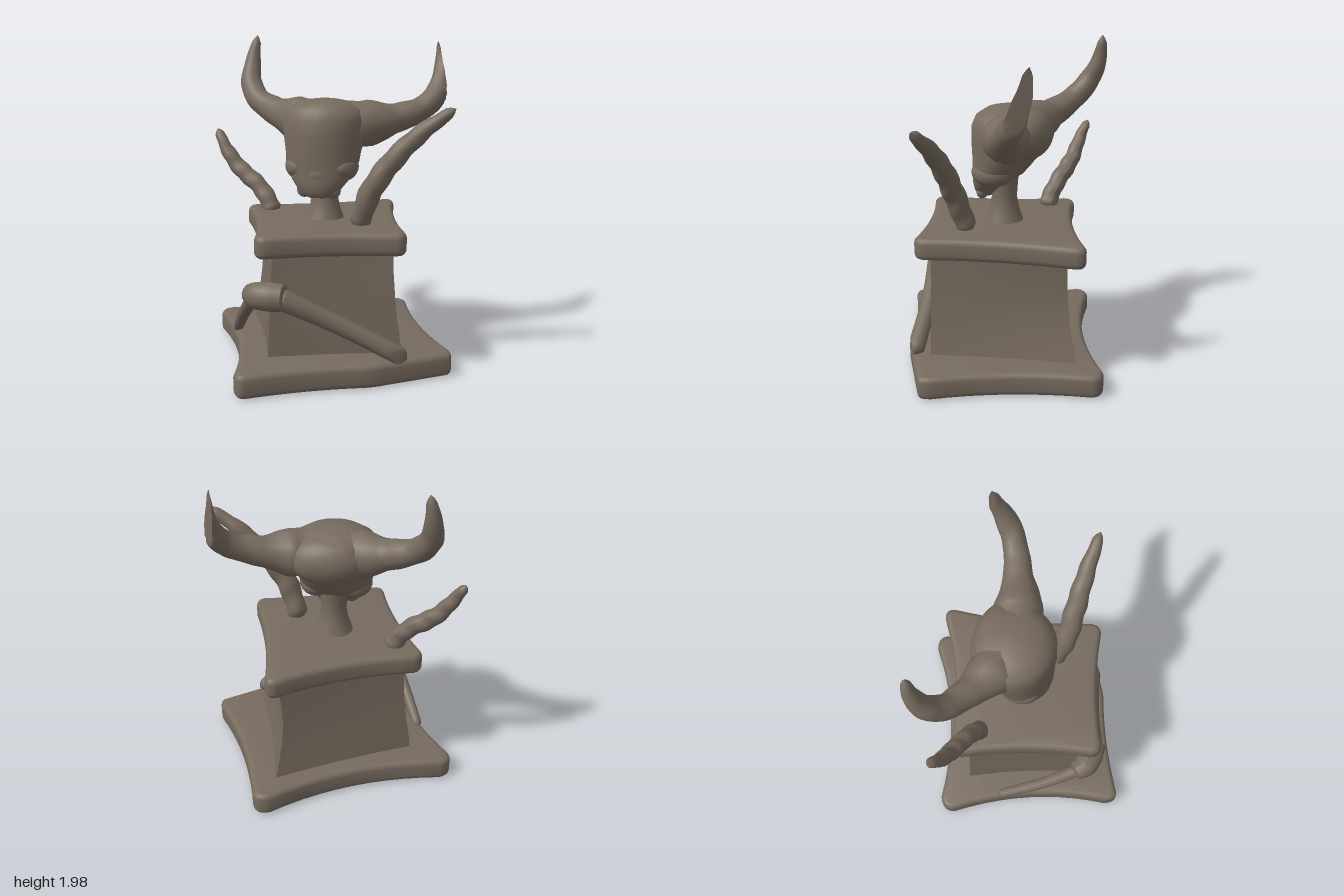
import * as THREE from 'three';
import { toCreasedNormals } from 'three/addons/utils/BufferGeometryUtils.js';

const stone = new THREE.MeshStandardMaterial({ color: 0x776b5f });
stone.name = 'stone';

function part(name, geometry, parent) {
  const mesh = new THREE.Mesh(geometry, stone);
  mesh.name = name;
  parent.add(mesh);
  return mesh;
}

// Closed skin over rings of [x, y, z] points, listed from bottom to top
function loft(rings) {
  const n = rings[0].length, index = [];
  for (let i = 0; i < rings.length - 1; i++) {
    for (let j = 0; j < n; j++) {
      const a = i * n + j, b = i * n + (j + 1) % n;
      index.push(a, a + n, b, b, a + n, b + n);
    }
  }
  const g = new THREE.BufferGeometry();
  g.setAttribute('position', new THREE.Float32BufferAttribute(rings.flat(2), 3));
  g.setIndex(index);
  g.computeVertexNormals();
  return g;
}

// Tube through points whose radius follows a list; closed by rounding off both ends
function taper(points, radii, lump = 0) {
  const n = 40, sides = 14;
  const curve = new THREE.CatmullRomCurve3(points.map(p => new THREE.Vector3(...p)));
  const g = new THREE.TubeGeometry(curve, n, 1, sides);
  const pos = g.attributes.position, v = new THREE.Vector3();
  for (let i = 0; i <= n; i++) {
    const c = curve.getPointAt(i / n);
    const t = i / n * (radii.length - 1), k = Math.min(Math.floor(t), radii.length - 2);
    let r = THREE.MathUtils.lerp(radii[k], radii[k + 1], t - k);
    r *= Math.sqrt(Math.min(1, Math.min(i, n - i) / 2));
    for (let j = 0; j <= sides; j++) {
      const id = i * (sides + 1) + j;
      const w = 1 + lump * Math.sin(i * 0.9 + 2 * Math.sin(j % sides / sides * Math.PI * 2));
      v.fromBufferAttribute(pos, id).sub(c).multiplyScalar(r * w).add(c);
      pos.setXYZ(id, v.x, v.y, v.z);
    }
  }
  g.computeVertexNormals();
  return g;
}

// Flat cut where a part would pass the edge of the block it was carved from
function trim(g) {
  const pos = g.attributes.position;
  for (let i = 0; i < pos.count; i++) {
    pos.setX(i, Math.min(pos.getX(i), 0.73));
    pos.setZ(i, Math.min(pos.getZ(i), 0.66));
  }
  return toCreasedNormals(g, 0.8);
}

// Slab with [x, z] corners, inward-bowed edges and rounded rims
function slab(corners, dents, y0, y1) {
  const n = corners.length;
  const pts = corners.map(([x, z]) => new THREE.Vector2(x, -z));
  const mid = pts.reduce((s, p) => s.add(p), new THREE.Vector2()).divideScalar(n);
  const shape = new THREE.Shape();
  pts.forEach((p, i) => {
    const q = pts[(i + 1) % n];
    const s = p.clone().lerp(q, 0.07), e = p.clone().lerp(q, 0.93);
    const c = p.clone().lerp(q, 0.5);
    c.add(mid.clone().sub(c).setLength(2 * dents[i]));
    if (i === 0) shape.moveTo(s.x, s.y);
    shape.quadraticCurveTo(c.x, c.y, e.x, e.y);
    const next = q.clone().lerp(pts[(i + 2) % n], 0.07);
    shape.quadraticCurveTo(q.x, q.y, next.x, next.y);
  });
  const b = 0.035;
  const g = new THREE.ExtrudeGeometry(shape, {
    depth: y1 - y0 - 2 * b, bevelThickness: b, bevelSize: b, bevelOffset: -b,
    bevelSegments: 4, curveSegments: 10,
  });
  g.rotateX(-Math.PI / 2).translate(0, y0 + b, 0);
  return toCreasedNormals(g, 0.7);
}

// Flared four-sided block: rows of [y, corners] with slightly hollow faces
function pillar(rows) {
  const steps = 8;
  const rings = rows.map(([y, c]) => c.flatMap((p, i) => {
    const q = c[(i + 1) % 4];
    return Array.from({ length: steps }, (_, k) => {
      const t = k / steps, s = 1 - 0.16 * t * (1 - t);
      return [(p[0] + (q[0] - p[0]) * t) * s, y, (p[1] + (q[1] - p[1]) * t) * s];
    });
  }));
  return toCreasedNormals(loft(rings), 0.6);
}

function ellipsoid(x, y, z, rx, ry, rz) {
  return new THREE.SphereGeometry(1, 20, 14).scale(rx, ry, rz).translate(x, y, z);
}

const skullTurn = -THREE.MathUtils.degToRad(35);

function createSkull() {
  const skull = new THREE.Group();
  skull.name = 'skull';

  // Cranium and muzzle: height, half width, centre z, half depth
  const sections = [
    [1.045, 0, 0.17, 0], [1.05, 0.08, 0.17, 0.05], [1.09, 0.13, 0.15, 0.085], [1.14, 0.17, 0.125, 0.115],
    [1.2, 0.21, 0.085, 0.15], [1.25, 0.225, 0.065, 0.175], [1.3, 0.23, 0.045, 0.195], [1.4, 0.25, 0.01, 0.235],
    [1.5, 0.26, 0, 0.24], [1.56, 0.235, 0, 0.215], [1.6, 0.165, 0, 0.155], [1.618, 0.07, 0, 0.07], [1.62, 0, 0, 0],
  ];
  part('cranium', loft(sections.map(([y, w, zc, d]) =>
    Array.from({ length: 28 }, (_, k) => {
      const a = k / 28 * Math.PI * 2;
      return [w * Math.cos(a), y, zc + d * Math.sin(a)];
    }))), skull);
  part('backOfSkull', ellipsoid(0.03, 1.455, -0.13, 0.23, 0.145, 0.125), skull);
  part('noseRidge', ellipsoid(0, 1.18, 0.17, 0.1, 0.08, 0.07), skull);

  for (const side of [-1, 1]) {
    part('cheekbone', ellipsoid(side * 0.12, 1.22, 0.08, 0.105, 0.09, 0.13), skull);
    for (const k of [0, 1]) {
      part('tooth', ellipsoid(side * (0.03 + k * 0.06), 1.085, 0.19 - k * 0.03, 0.045, 0.045, 0.035), skull);
    }
  }
  skull.position.z = -0.01;
  skull.rotation.y = skullTurn;
  return skull;
}

// Horns sweep out and back, then turn up
function createHorns() {
  const horns = new THREE.Group();
  horns.name = 'horns';
  for (const s of [-1, 1]) {
    const g = taper([
      [s * 0.06, -0.04, -0.02], [s * 0.22, -0.025, -0.07], [s * 0.4, 0.015, -0.144], [s * 0.545, 0.085, -0.22],
      [s * 0.61, 0.19, -0.295], [s * 0.615, 0.32, -0.353], [s * 0.597, 0.475, -0.38],
    ], [0.14, 0.145, 0.092, 0.075, 0.07, 0.05, 0.02], 0.025);
    g.rotateZ(-0.025).translate(0.04, 1.5, 0).rotateY(skullTurn).translate(0, 0, -0.01);
    part(s < 0 ? 'rightHorn' : 'leftHorn', trim(g), horns);
  }
  return horns;
}

export function createModel() {
  const model = new THREE.Group();
  model.name = 'skullPedestal';

  // Pedestal
  part('baseSlab', slab([[0.75, -0.405], [0.555, 0.66], [0.05, 0.66], [-0.75, 0.53], [-0.51, -0.66]],
    [0.045, 0, 0.025, 0.07, 0.08], 0.01, 0.155), model);
  part('pedestalBody', pillar([
    [0.1, [[0.575, -0.295], [0.285, 0.555], [-0.49, 0.32], [-0.34, -0.42]]],
    [0.22, [[0.54, -0.28], [0.26, 0.545], [-0.485, 0.32], [-0.33, -0.41]]],
    [0.36, [[0.5, -0.26], [0.24, 0.54], [-0.475, 0.31], [-0.31, -0.4]]],
    [0.5, [[0.48, -0.25], [0.225, 0.535], [-0.465, 0.31], [-0.295, -0.39]]],
    [0.65, [[0.485, -0.24], [0.215, 0.53], [-0.455, 0.3], [-0.285, -0.385]]],
    [0.8, [[0.505, -0.235], [0.21, 0.53], [-0.45, 0.3], [-0.28, -0.385]]],
  ]), model);
  part('capSlab', slab([[0.615, -0.32], [0.25, 0.635], [-0.58, 0.39], [-0.35, -0.5]],
    [0.03, 0.03, 0.03, 0.045], 0.765, 0.9), model);

  // Neck, skull and horns
  const neck = [[0.125, 0.88], [0.11, 0.92], [0.09, 0.98], [0.078, 1.05], [0.085, 1.15], [0.1, 1.25]];
  part('neck', new THREE.LatheGeometry(neck.map(p => new THREE.Vector2(...p)), 20), model)
    .position.set(-0.02, 0, 0.035);
  model.add(createSkull(), createHorns());

  // Gnarled tusks rising from the cap
  part('rightTusk', taper([
    [-0.24, 0.87, -0.28], [-0.3, 1.02, -0.37], [-0.41, 1.15, -0.5], [-0.475, 1.27, -0.57], [-0.51, 1.39, -0.635],
  ], [0.06, 0.055, 0.055, 0.045, 0.025], 0.06), model);
  part('leftTusk', taper([
    [0.1, 0.87, 0.28], [0.14, 1.1, 0.36], [0.25, 1.3, 0.44], [0.38, 1.46, 0.53], [0.53, 1.6, 0.645],
  ], [0.06, 0.068, 0.064, 0.052, 0.028], 0.06), model);

  // Bent limb leaning round the pedestal corner
  part('limbKnuckle', taper([[-0.565, 0.53, 0.24], [-0.54, 0.54, 0.33], [-0.41, 0.54, 0.43]],
    [0.06, 0.08, 0.085, 0.078]), model);
  part('limbFront', trim(taper([[-0.47, 0.55, 0.4], [-0.1, 0.355, 0.51], [0.25, 0.155, 0.65]],
    [0.065, 0.055, 0.052, 0.055])), model);
  part('limbBack', taper([[-0.56, 0.53, 0.3], [-0.55, 0.34, 0.04], [-0.505, 0.14, -0.26]],
    [0.045, 0.038, 0.035, 0.03]), model);

  return model;
}
